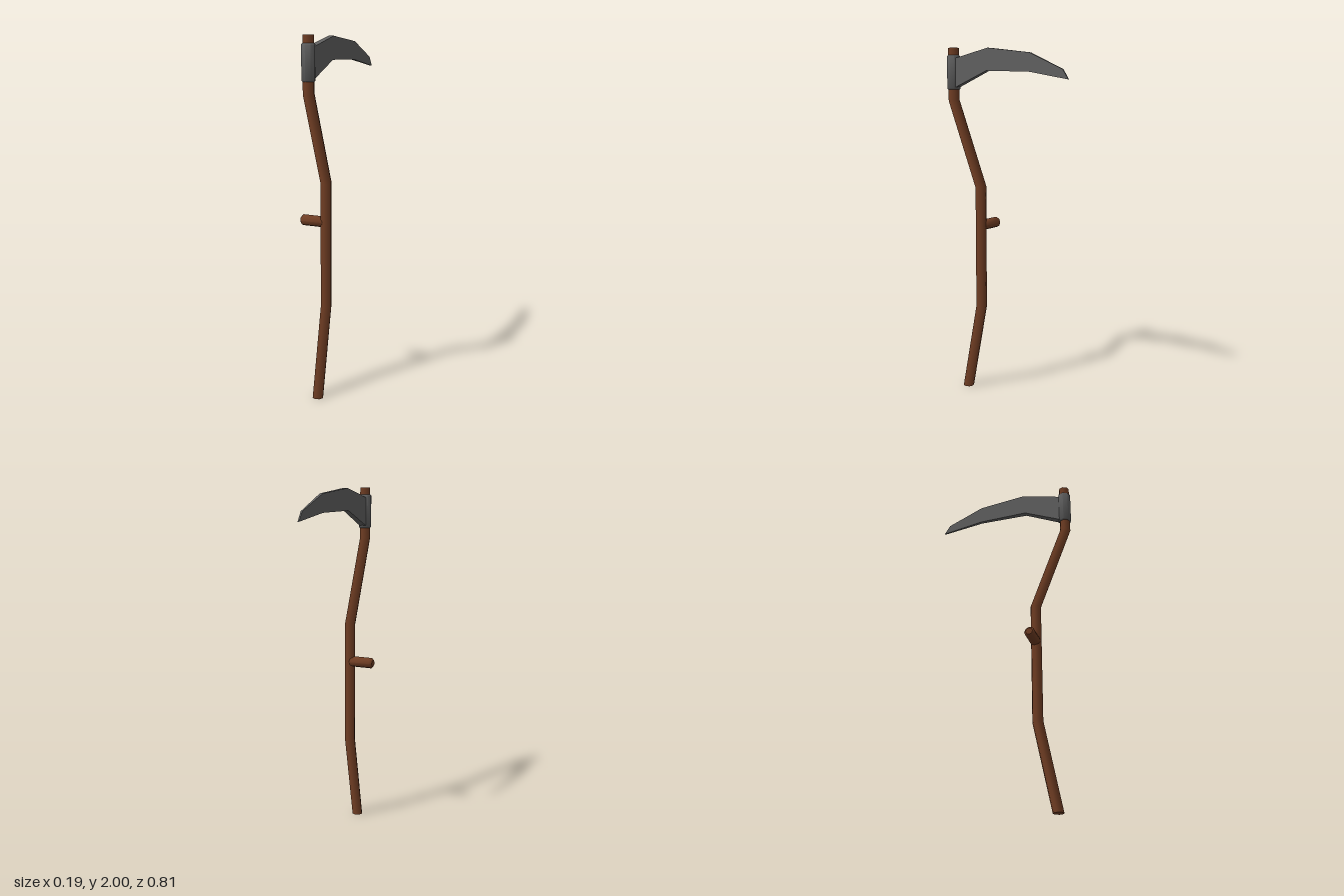
import * as THREE from 'three';
import { toCreasedNormals } from 'three/addons/utils/BufferGeometryUtils.js';

const SHAFT_X = 0.055;
const SIDES = 8;

// Eight-sided rod from y = 0 to y = length, with chosen ends chamfered
function rod(radius, length, chamfer) {
  const r = radius - chamfer;
  const profile = [[0, 0], [r, 0], [radius, chamfer], [radius, length - chamfer], [r, length], [0, length]];
  const geometry = new THREE.LatheGeometry(profile.map(([x, y]) => new THREE.Vector2(x, y)), SIDES);
  return toCreasedNormals(geometry, 0.8);
}

// Bent pole: a cylinder whose rings are moved onto the path, mitred at each bend
function bentPole(radius, path) {
  const n = path.length - 1;
  const geometry = new THREE.CylinderGeometry(radius, radius, n, SIDES, n);
  const pos = geometry.attributes.position;
  for (let i = 0; i < pos.count; i++) {
    const [y, z, tilt] = path[Math.round(pos.getY(i) + n / 2)];
    const offset = pos.getZ(i);
    pos.setY(i, y + offset * tilt);
    pos.setZ(i, z + offset);
  }
  return geometry;
}

// Curved blade: side outline extruded, then thinned towards the tip
function bladeGeometry() {
  const outline = [
    [0.35, 1.775], [0.125, 1.87], [-0.16, 1.863], [-0.405, 1.822],
    [-0.37, 1.875], [-0.16, 1.965], [0.115, 1.995], [0.35, 1.94],
  ];
  const shape = new THREE.Shape(outline.map(([z, y]) => new THREE.Vector2(-z, y)));
  const geometry = new THREE.ExtrudeGeometry(shape, { depth: 2, bevelEnabled: false });
  geometry.translate(0, 0, -1).rotateY(Math.PI / 2);
  const pos = geometry.attributes.position;
  for (let i = 0; i < pos.count; i++) {
    const t = (pos.getZ(i) + 0.405) / 0.755;
    pos.setX(i, pos.getX(i) * THREE.MathUtils.lerp(0.004, 0.021, t));
  }
  geometry.computeVertexNormals();
  return geometry;
}

export function createModel() {
  const wood = new THREE.MeshStandardMaterial({ color: 0x6f3d23 });
  wood.name = 'brown wood';
  const metal = new THREE.MeshStandardMaterial({ color: 0x606060 });
  metal.name = 'grey metal';

  const group = new THREE.Group();
  group.name = 'scythe';
  const add = (name, geometry, material, x, y, z) => {
    const mesh = new THREE.Mesh(geometry, material);
    mesh.name = name;
    mesh.position.set(x, y, z);
    group.add(mesh);
    return mesh;
  };

  // Shaft path: height, z, mitre slope
  const path = [[0, 0.28, 0], [0.51, 0.178, 0.1], [1.215, 0.178, -0.19], [1.705, 0.37, -0.19], [2, 0.37, 0]];
  add('shaft', bentPole(0.031, path), wood, SHAFT_X, 0, 0);

  // Side grip, pointing to the model's right
  const grip = add('grip', rod(0.031, 0.152, 0.011), wood, SHAFT_X, 0.992, 0.176);
  grip.rotation.z = Math.PI / 2;

  // Blade and the collar that holds it
  add('collar', rod(0.038, 0.194, 0.006), metal, SHAFT_X, 1.765, 0.37);
  add('blade', bladeGeometry(), metal, SHAFT_X, 0, 0);

  return group;
}
